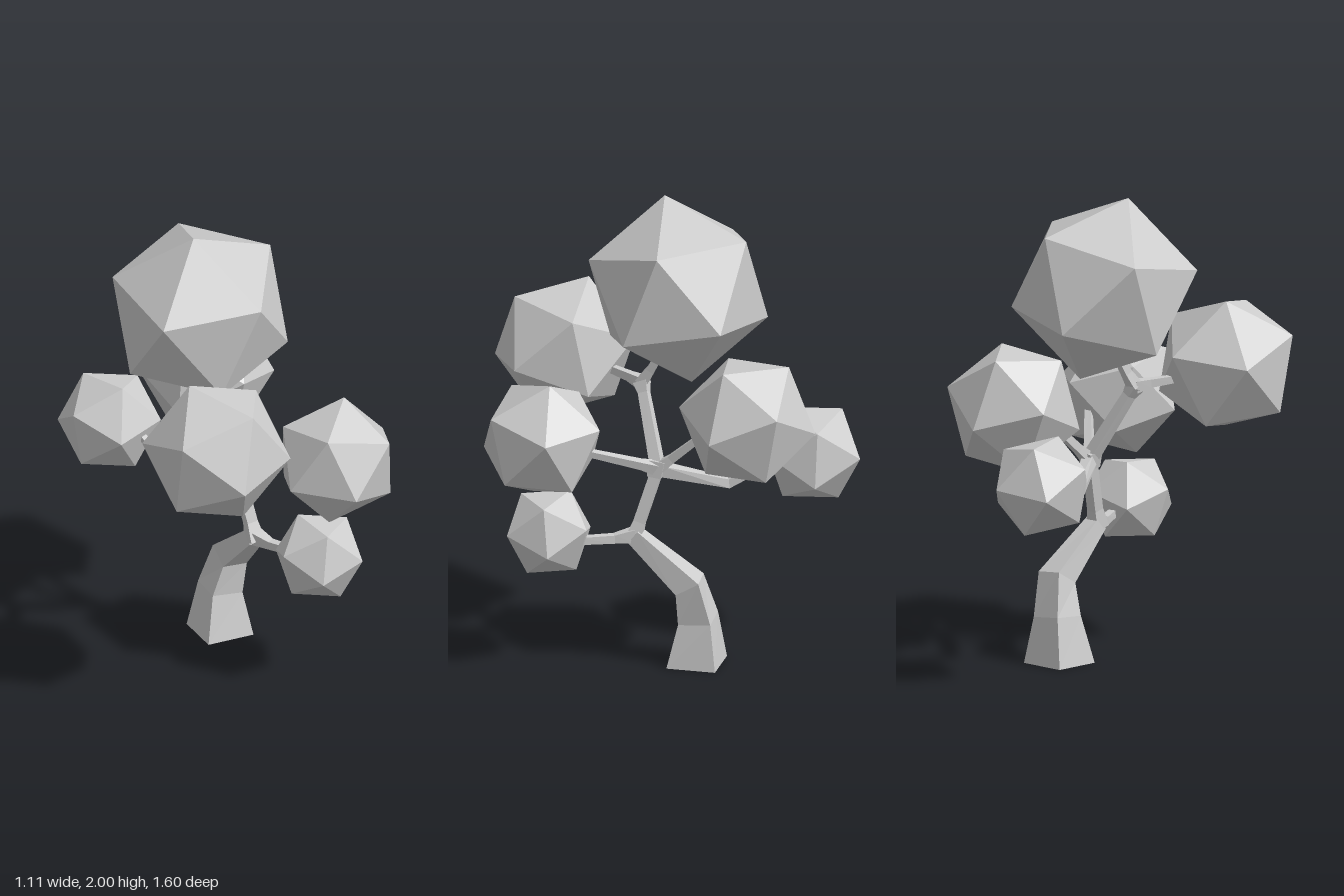
import * as THREE from 'three';

const V = (p) => new THREE.Vector3(...p);
const grey = new THREE.MeshStandardMaterial({ color: 0xcccccc });
grey.name = 'plainGrey';

// Rotation basis whose first axis is a and whose first plane holds b
function basis(a, b) {
  const x = a.clone().normalize();
  const z = a.clone().cross(b).normalize();
  return new THREE.Matrix4().makeBasis(x, z.clone().cross(x), z);
}

// Icosahedron turned so two neighbouring corners point along a and b
function foliage(name, centre, radius, a, b) {
  const t = (1 + Math.sqrt(5)) / 2;
  const rest = basis(V([-1, t, 0]), V([1, t, 0])).invert();
  const mesh = new THREE.Mesh(new THREE.IcosahedronGeometry(radius, 0), grey);
  mesh.quaternion.setFromRotationMatrix(basis(V(a), V(b)).multiply(rest));
  mesh.position.set(...centre);
  mesh.name = name;
  return mesh;
}

// Four-sided tapering limb; each point is [x, y, z, half width]
function limb(name, points) {
  const pts = points.map(V);
  const rings = pts.map((p, i) => {
    const dir = new THREE.Vector3();
    if (i > 0) dir.add(p.clone().sub(pts[i - 1]).normalize());
    if (i < pts.length - 1) dir.add(pts[i + 1].clone().sub(p).normalize());
    dir.normalize();
    if (p.y === 0) dir.set(0, 1, 0);
    const u = V([1, 0, 0]).addScaledVector(dir, -dir.x).normalize();
    const v = dir.clone().cross(u);
    const h = points[i][3];
    return [[1, 1], [-1, 1], [-1, -1], [1, -1]].map(([s, r]) =>
      p.clone().addScaledVector(u, s * h).addScaledVector(v, r * h));
  });
  const out = [];
  const quad = (a, b, c, d) => [a, b, c, a, c, d].forEach((p) => out.push(p));
  for (let i = 0; i < rings.length - 1; i++) {
    for (let j = 0; j < 4; j++) {
      const k = (j + 1) % 4;
      quad(rings[i][j], rings[i][k], rings[i + 1][k], rings[i + 1][j]);
    }
  }
  quad(...rings[0].slice().reverse());
  quad(...rings[rings.length - 1]);
  const geo = new THREE.BufferGeometry().setFromPoints(out);
  geo.computeVertexNormals();
  const mesh = new THREE.Mesh(geo, grey);
  mesh.name = name;
  return mesh;
}

export function createModel() {
  const tree = new THREE.Group();
  tree.name = 'tree';

  // Foliage clumps
  tree.add(
    foliage('crownFoliage', [-0.1, 1.61, -0.043], 0.4, [-0.068, 0.387, 0.075], [0.108, 0.136, 0.362]),
    foliage('frontRightFoliage', [-0.287, 1.237, 0.495], 0.313, [-0.085, 0.292, -0.085], [0.077, 0.232, 0.2]),
    foliage('frontLeftFoliage', [0.298, 1.037, 0.448], 0.271, [0.058, 0.259, -0.048], [0.256, 0.048, -0.078]),
    foliage('backLeftFoliage', [0.094, 1.12, -0.39], 0.292, [0.136, 0.246, 0.07], [0.045, 0.056, 0.284]),
    foliage('backRightFoliage', [-0.261, 0.867, -0.583], 0.225, [0.05, 0.006, -0.218], [0.205, -0.095, -0.057]),
    foliage('lowFoliage', [0.222, 0.595, 0.437], 0.198, [-0.061, 0.172, -0.079], [0.14, 0.145, -0.01]),
  );

  // Bent trunk, running up to the hub where the branches spread
  const fork = [0.085, 0.56, 0.1];
  const hub = [0.04, 0.85, 0.01];
  const upper = [-0.12, 1.17, 0.12];
  tree.add(
    limb('trunk', [[0.05, 0, -0.16, 0.105], [0.055, 0.2, -0.167, 0.07], [0.085, 0.36, -0.138, 0.057],
      [...fork, 0.033]]),
    limb('upperTrunk', [[0.085, 0.54, 0.105, 0.034], [0.075, 0.62, 0.08, 0.024], [...hub, 0.024]]),
    limb('hub', [[0.046, 0.815, 0.02, 0.03], [0.036, 0.885, 0.012, 0.036]]),
  );

  // Branches
  tree.add(
    limb('lowBranch', [[...fork, 0.03], [0.12, 0.55, 0.18, 0.018], [0.19, 0.555, 0.31, 0.016]]),
    limb('frontLeftBranch', [[...hub, 0.026], [0.1, 0.885, 0.07, 0.018], [0.28, 0.985, 0.25, 0.014]]),
    limb('backLeftBranch', [[...hub, 0.026], [0.045, 0.9, -0.05, 0.018], [0.06, 1.04, -0.21, 0.014]]),
    limb('backRightBranch', [[...hub, 0.026], [-0.14, 0.745, -0.25, 0.02], [-0.18, 0.84, -0.43, 0.013]]),
    limb('upperBranch', [[...hub, 0.026], [-0.1, 1.13, 0.105, 0.021], [...upper, 0.03]]),
    limb('frontRightBranch', [[...upper, 0.026], [-0.15, 1.18, 0.18, 0.018], [-0.2, 1.19, 0.28, 0.015]]),
    limb('crownBranch', [[...upper, 0.026], [-0.11, 1.23, 0.08, 0.018], [-0.1, 1.32, 0.03, 0.015]]),
  );
  return tree;
}
